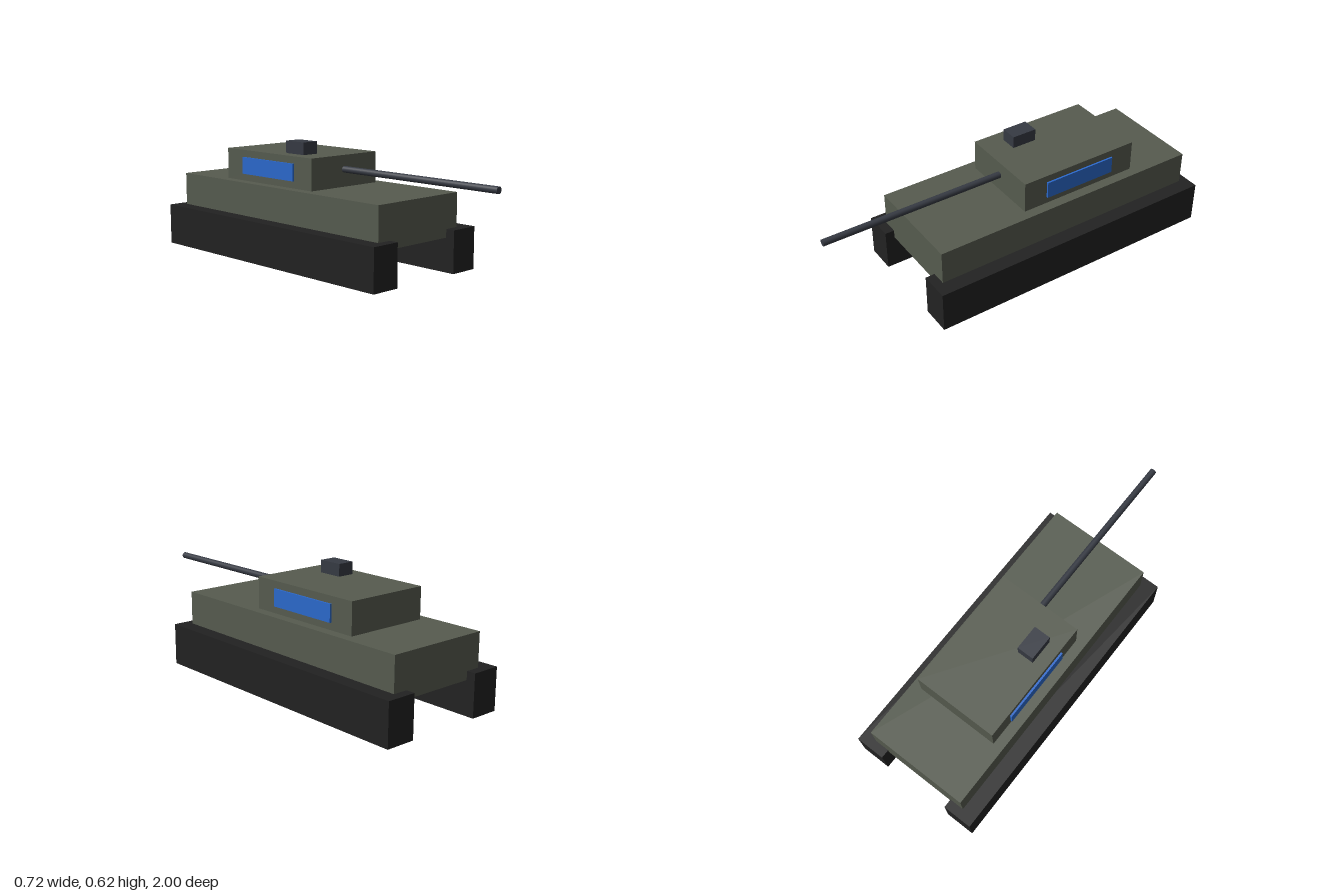
import * as THREE from 'three';

const material = (name, color) => {
  const m = new THREE.MeshStandardMaterial({ color });
  m.name = name;
  return m;
};

export function createModel() {
  const olive = material('olive armour', 0x565b4f);
  const black = material('black track', 0x222222);
  const steel = material('dark steel', 0x363a43);
  const blue = material('blue marking', 0x2b69cc);

  const model = new THREE.Group();
  model.name = 'tank';

  // Box given by its lower and upper limits on each axis
  const addBox = (name, mat, [x0, x1], [y0, y1], [z0, z1]) => {
    const mesh = new THREE.Mesh(new THREE.BoxGeometry(x1 - x0, y1 - y0, z1 - z0), mat);
    mesh.position.set((x0 + x1) / 2, (y0 + y1) / 2, (z0 + z1) / 2);
    mesh.name = name;
    model.add(mesh);
  };

  // Body
  addBox('hull', olive, [-0.279, 0.279], [0.175, 0.393], [-0.953, 0.538]);
  addBox('turret', olive, [-0.226, 0.226], [0.393, 0.556], [-0.634, 0.03]);
  addBox('hatch', steel, [-0.158, -0.068], [0.556, 0.62], [-0.236, -0.102]);

  // Tracks and turret side panels, mirrored
  for (const [side, s] of [['left', 1], ['right', -1]]) {
    const mirror = (a, b) => (s > 0 ? [a, b] : [-b, -a]);
    addBox(side + 'Track', black, mirror(0.201, 0.358), [0, 0.218], [-1, 0.587]);
    addBox(side + 'Panel', blue, mirror(0.2265, 0.2364), [0.43, 0.519], [-0.5, -0.1]);
  }

  // Gun
  const length = 0.97;
  const gun = new THREE.Mesh(new THREE.CylinderGeometry(0.017, 0.017, length, 24), steel);
  gun.rotation.x = Math.PI / 2;
  gun.position.set(0, 0.483, 1 - length / 2);
  gun.name = 'gunBarrel';
  model.add(gun);

  return model;
}
